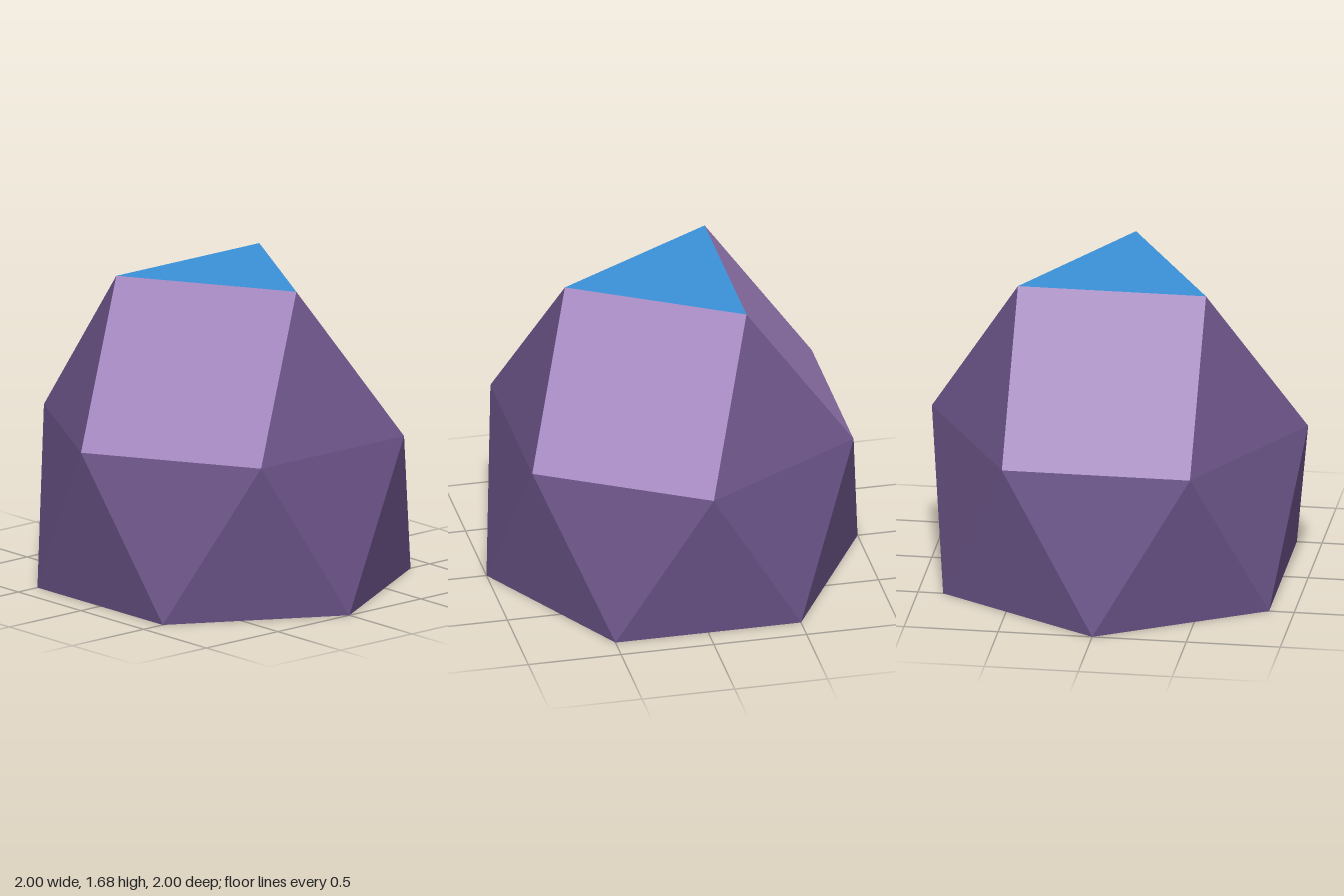
import * as THREE from 'three';

const paint = (name, color) => {
  const m = new THREE.MeshStandardMaterial({ color });
  m.name = name;
  return m;
};

// Ring of corners; start angle in degrees, measured from +x towards +z
const ring = (count, radius, y, start) =>
  Array.from({ length: count }, (_, i) => {
    const a = THREE.MathUtils.degToRad(start + (i * 360) / count);
    return new THREE.Vector3(radius * Math.cos(a), y, radius * Math.sin(a));
  });

// Flat-shaded mesh from convex faces, corners counter-clockwise from outside
function facesMesh(name, faces, material) {
  const points = [];
  for (const f of faces)
    for (let i = 1; i < f.length - 1; i++) points.push(f[0], f[i], f[i + 1]);
  const geometry = new THREE.BufferGeometry().setFromPoints(points);
  geometry.computeVertexNormals();
  const mesh = new THREE.Mesh(geometry, material);
  mesh.name = name;
  return mesh;
}

export function createModel() {
  const group = new THREE.Group();
  group.name = 'gyroelongatedTriangularCupola';

  const purple = paint('deep purple', 0x6d558a);
  const lilac = paint('lilac', 0x9a7cb7);
  const blue = paint('blue', 0x3b92d9);

  // Edge length is 1 throughout
  const base = ring(6, 1, 0, 30);
  const waist = ring(6, 1, 0.86, 0);
  const crown = ring(3, 1 / Math.sqrt(3), 1.676, 90);

  // Band of twelve triangles between the two hexagons
  const band = [];
  for (let i = 0; i < 6; i++) {
    const n = (i + 1) % 6;
    band.push([waist[n], waist[i], base[i]].reverse());
    band.push([base[n], base[i], waist[n]]);
  }

  // Cupola: triangles and squares alternate around the crown
  const triangles = [], squares = [];
  for (let j = 0; j < 3; j++) {
    const lo = waist[(2 * j + 1) % 6];
    const hi = waist[(2 * j + 2) % 6];
    const far = waist[(2 * j + 3) % 6];
    triangles.push([hi, lo, crown[j]]);
    squares.push([far, hi, crown[j], crown[(j + 1) % 3]]);
  }

  group.add(
    facesMesh('baseHexagon', [base], purple),
    facesMesh('triangleBand', band, purple),
    facesMesh('cupolaTriangles', triangles, purple),
    facesMesh('cupolaSquares', squares, lilac),
    facesMesh('topTriangle', [[...crown].reverse()], blue),
  );
  return group;
}
